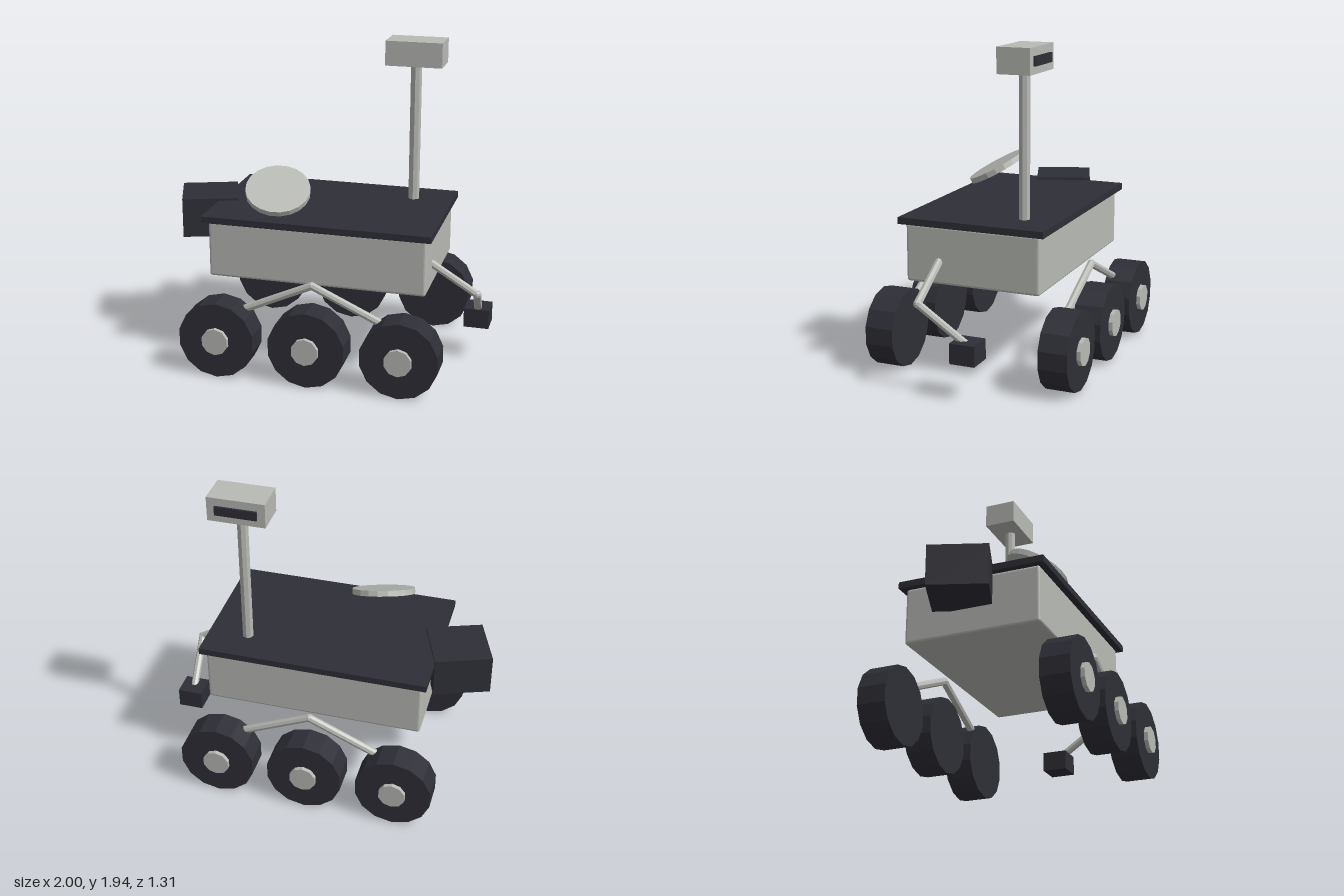
import * as THREE from 'three';
import { RoundedBoxGeometry } from 'three/addons/geometries/RoundedBoxGeometry.js';

export function createModel() {
  const root = new THREE.Group();
  root.name = 'rover';
  const lightGrey = new THREE.MeshStandardMaterial({ name: 'lightGrey', color: 0xb8bab5, flatShading: true });
  const darkGrey = new THREE.MeshStandardMaterial({ name: 'darkGrey', color: 0x2e2e37, flatShading: true });

  const add = (name, geometry, material, x = 0, y = 0, z = 0) => {
    const mesh = new THREE.Mesh(geometry, material);
    mesh.name = name;
    mesh.position.set(x, y, z);
    root.add(mesh);
    return mesh;
  };
  const box = (name, material, size, pos) => add(name, new THREE.BoxGeometry(...size), material, ...pos);

  // Straight round rod between two points
  const rod = (name, from, to, radius) => {
    const a = new THREE.Vector3(...from), b = new THREE.Vector3(...to);
    const dir = b.clone().sub(a);
    const mesh = add(name, new THREE.CylinderGeometry(radius, radius, dir.length(), 8), lightGrey);
    mesh.position.copy(a).add(b).multiplyScalar(0.5);
    mesh.quaternion.setFromUnitVectors(new THREE.Vector3(0, 1, 0), dir.normalize());
    return mesh;
  };
  // Small knob closing the bend between two rods
  const joint = (name, pos, radius) => add(name, new THREE.SphereGeometry(radius, 8, 6), lightGrey, ...pos);

  // Hull and deck
  add('hull', new RoundedBoxGeometry(1.325, 0.345, 0.83, 2, 0.015), lightGrey, 0.02, 0.733, 0);
  box('deck', darkGrey, [1.39, 0.04, 0.9], [0.02, 0.925, 0]);

  // Power unit at the tail
  box('powerUnit', darkGrey, [0.346, 0.245, 0.346], [-0.782, 0.8375, -0.004]).rotation.y = Math.PI / 9;

  // Mast with camera head
  rod('mast', [0.472, 0.93, -0.24], [0.472, 1.8, -0.24], 0.034);
  box('cameraHead', lightGrey, [0.345, 0.15, 0.2], [0.472, 1.865, -0.243]);
  box('cameraSlot', darkGrey, [0.25, 0.056, 0.02], [0.472, 1.863, -0.345]);

  // Tilted dish
  const dish = add('dish', new THREE.CylinderGeometry(0.195, 0.195, 0.035, 20), lightGrey, -0.256, 1.08, 0.247);
  dish.rotation.set(0.48, 0, -0.14);

  // Wheels, hubs and rocker bars on both sides
  for (const side of [-1, 1]) {
    for (const x of [-0.535, 0.02, 0.575]) {
      add('wheel', new THREE.CylinderGeometry(0.235, 0.235, 0.175, 14).rotateX(Math.PI / 2),
        darkGrey, x, 0.235, side * 0.5425);
      add('hub', new THREE.CylinderGeometry(0.083, 0.083, 0.12, 10).rotateX(Math.PI / 2),
        lightGrey, x, 0.235, side * 0.595);
    }
    const z = side * 0.487;
    const apex = [0.02, 0.59, z];
    for (const dir of [-1, 1]) rod('rockerBar', apex, [0.02 + dir * 0.5, 0.363, z], 0.024);
    joint('rockerPivot', apex, 0.024);
  }

  // Jointed arm with tool block
  const elbow = [0.955, 0.525, 0.205];
  rod('upperArm', [0.65, 0.712, 0.207], elbow, 0.024);
  joint('elbow', elbow, 0.026);
  rod('forearm', elbow, [0.923, 0.31, -0.085], 0.024);
  box('toolBlock', darkGrey, [0.154, 0.12, 0.152], [0.923, 0.277, -0.085]);

  return root;
}
